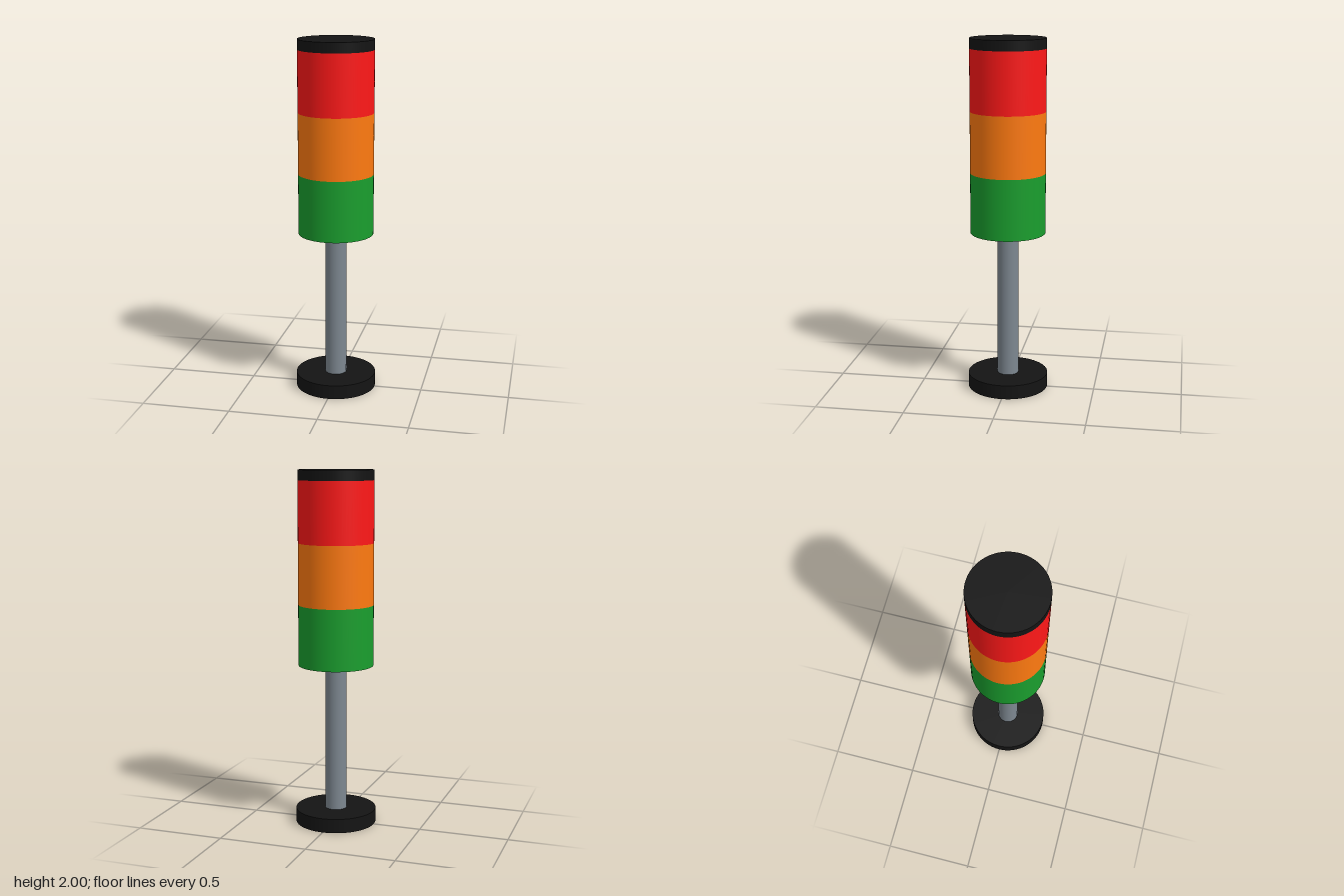
import * as THREE from 'three';

export function createModel() {
  const model = new THREE.Group();
  model.name = 'signalTower';

  // Upright cylinder spanning bottom to top
  function addCylinder(name, radius, bottom, top, color) {
    const mesh = new THREE.Mesh(
      new THREE.CylinderGeometry(radius, radius, top - bottom, 64),
      new THREE.MeshStandardMaterial({ color })
    );
    mesh.name = name;
    mesh.position.y = (bottom + top) / 2;
    model.add(mesh);
  }

  // Foot and pole (the pole is sunk into the foot)
  addCylinder('base', 0.228, 0, 0.08, 0x141414);
  addCylinder('pole', 0.06, 0.03, 0.914, 0x7d8790);

  // Stacked lamp segments, bottom to top
  const lampRadius = 0.211, lampBottom = 0.914, lampHeight = 0.343;
  const lamps = [['greenLamp', 0x1a9e2e], ['orangeLamp', 0xff7a10], ['redLamp', 0xff1818]];
  lamps.forEach(([name, color], i) => {
    const y = lampBottom + i * lampHeight;
    addCylinder(name, lampRadius, y, y + lampHeight, color);
  });

  // Cap
  addCylinder('cap', lampRadius, lampBottom + lamps.length * lampHeight, 2, 0x141414);

  return model;
}
